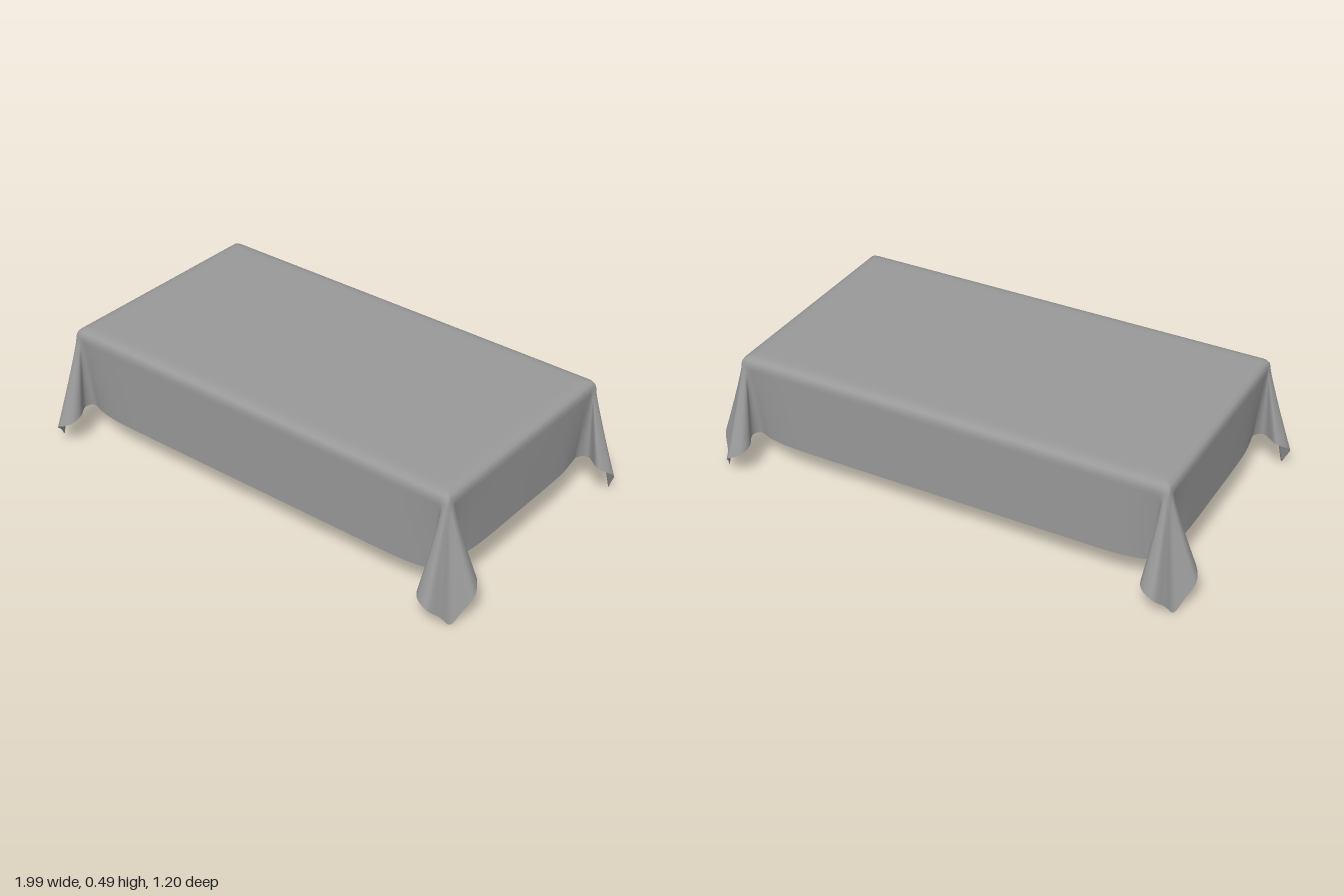
import * as THREE from 'three';

// One quarter of the cloth, from the middle of the front to the middle of the side.
// Each row: hem x, y, z, then the x, z on the table edge it hangs from.
const QUARTER = [
  [0, 0.13, 0.47, 0, 0.475],
  [0.45, 0.13, 0.47, 0.45, 0.475],
  [0.68, 0.13, 0.468, 0.68, 0.475],
  [0.78, 0.132, 0.457, 0.79, 0.475],
  [0.835, 0.138, 0.445, 0.838, 0.475],
  [0.855, 0.138, 0.48, 0.852, 0.475],
  [0.829, 0.13, 0.535, 0.862, 0.475],
  [0.842, 0.11, 0.58, 0.869, 0.474],
  [0.893, 0.088, 0.597, 0.876, 0.472],
  [0.923, 0.045, 0.557, 0.880, 0.470],
  [0.946, 0, 0.521, 0.883, 0.467],
  [0.972, 0.05, 0.492, 0.884, 0.464],
  [0.997, 0.105, 0.461, 0.885, 0.460],
  [0.985, 0.135, 0.425, 0.885, 0.453],
  [0.952, 0.155, 0.403, 0.885, 0.445],
  [0.892, 0.155, 0.443, 0.885, 0.437],
  [0.863, 0.163, 0.405, 0.885, 0.42],
  [0.87, 0.165, 0.35, 0.885, 0.36],
  [0.88, 0.164, 0.25, 0.885, 0.25],
  [0.882, 0.165, 0, 0.885, 0]
];
const HALF_X = 0.885, HALF_Z = 0.475, TOP_Y = 0.485, EDGE_Y = 0.45;
const STEPS = 114, DROPS = 22;

const smoothCurve = points => new THREE.CatmullRomCurve3(points, false, 'catmullrom', 0.5);

// Mirrors a sampled quarter into a closed loop around the table
function closedLoop(quarter) {
  const loop = [];
  [[1, 1], [1, -1], [-1, -1], [-1, 1]].forEach(([sx, sz], k) => {
    const side = k % 2 ? [...quarter].reverse() : quarter;
    side.slice(0, -1).forEach(p => loop.push(new THREE.Vector3(p.x * sx, p.y, p.z * sz)));
  });
  return loop;
}

function clothGeometry() {
  const hem = smoothCurve(QUARTER.map(([x, y, z]) => new THREE.Vector3(x, y, z))).getPoints(STEPS);
  const edge = smoothCurve(QUARTER.map(r => new THREE.Vector3(r[3], EDGE_Y, r[4]))).getPoints(STEPS);
  const rings = [];

  // Flat top: a centre line growing out to the rounded rim
  const inset = (d, y, zScale = 1) => rings.push(closedLoop(edge.map(p => new THREE.Vector3(
    p.x * (HALF_X - d) / HALF_X, y, p.z * zScale * (HALF_Z - d) / HALF_Z))));
  inset(0.07, TOP_Y, 0);
  inset(0.07, TOP_Y, 0.5);
  inset(0.07, TOP_Y);
  inset(0.045, TOP_Y);
  inset(0.025, 0.482);
  inset(0.01, 0.475);
  inset(0.003, 0.464);

  // Skirt: falls straight on the sides, opens into folds at the corners
  for (let j = 0; j <= DROPS; j++) {
    const t = j / DROPS;
    const flare = Math.pow(t, 1.1);
    rings.push(closedLoop(edge.map((p, i) => new THREE.Vector3(
      THREE.MathUtils.lerp(p.x, hem[i].x, flare),
      THREE.MathUtils.lerp(p.y, hem[i].y, t),
      THREE.MathUtils.lerp(p.z, hem[i].z, flare)))));
  }

  const n = rings[0].length, index = [];
  for (let j = 0; j < rings.length - 1; j++) {
    for (let i = 0; i < n; i++) {
      const a = j * n + i, b = j * n + (i + 1) % n;
      index.push(a, a + n, b, b, a + n, b + n);
    }
  }
  const geometry = new THREE.BufferGeometry().setFromPoints(rings.flat());
  geometry.setIndex(index);
  geometry.computeVertexNormals();
  return geometry;
}

export function createModel() {
  const group = new THREE.Group();
  group.name = 'tablecloth';
  const material = new THREE.MeshStandardMaterial({ color: 0x999999, side: THREE.DoubleSide });
  const cloth = new THREE.Mesh(clothGeometry(), material);
  cloth.name = 'drapedCloth';
  group.add(cloth);
  return group;
}
